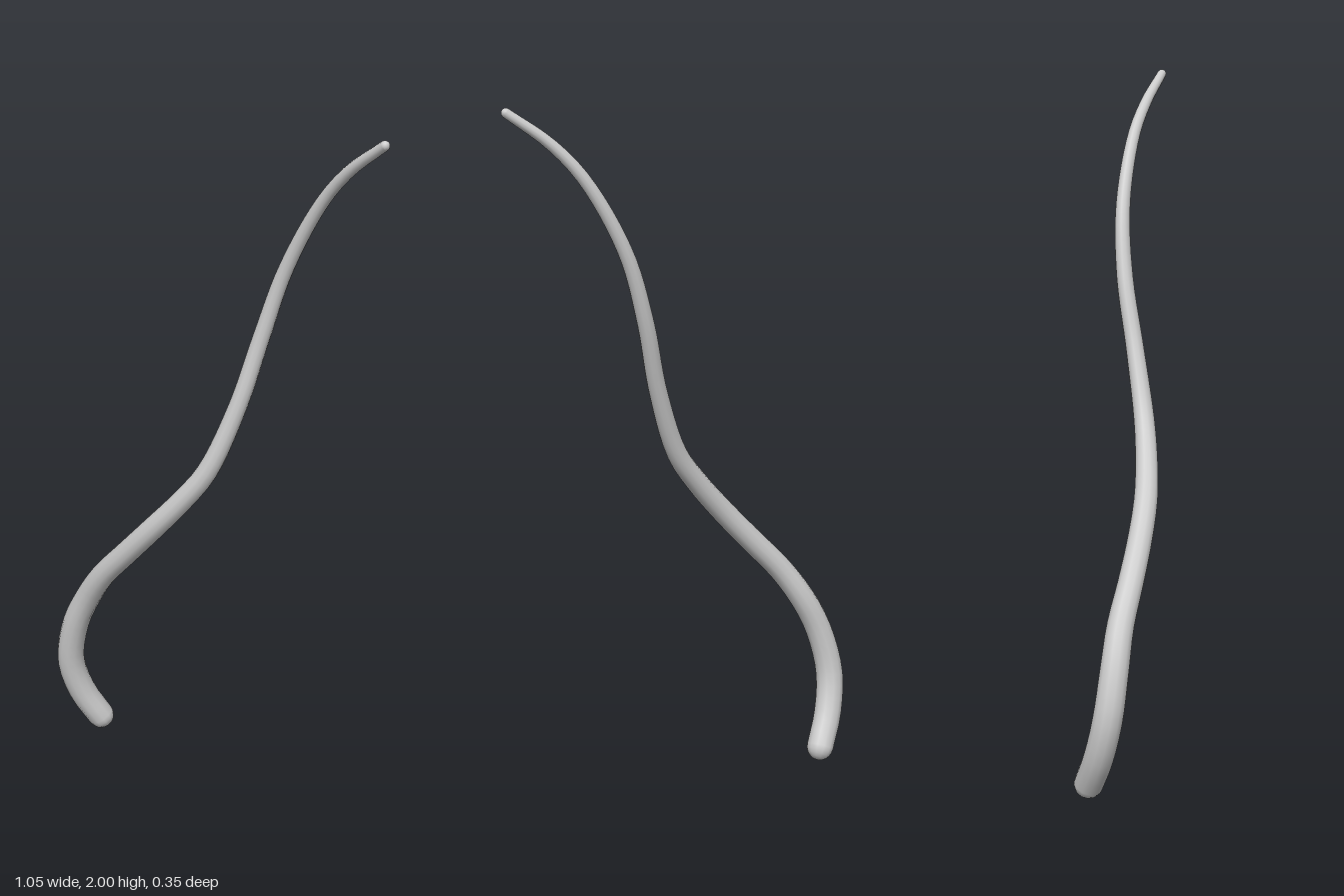
import * as THREE from 'three';

// Centre line of the tendril: x, y, z, radius from thick base to thin tip
const STATIONS = [
  [-0.408, 0.045, -0.132, 0.042],
  [-0.460, 0.140, -0.108, 0.043],
  [-0.486, 0.260, -0.084, 0.043],
  [-0.458, 0.400, -0.062, 0.041],
  [-0.410, 0.500, -0.043, 0.039],
  [-0.345, 0.600, -0.010, 0.037],
  [-0.255, 0.700, 0.024, 0.036],
  [-0.163, 0.800, 0.050, 0.035],
  [-0.072, 0.900, 0.060, 0.033],
  [0.005, 1.000, 0.060, 0.031],
  [0.090, 1.200, 0.040, 0.027],
  [0.150, 1.400, 0.016, 0.025],
  [0.217, 1.600, 0.016, 0.022],
  [0.322, 1.800, 0.056, 0.019],
  [0.403, 1.900, 0.101, 0.017],
  [0.509, 1.986, 0.161, 0.014],
];
const SIDES = 12, STEPS = 60, CAP = 5;

export function createModel() {
  const group = new THREE.Group();
  group.name = 'tendril';
  const curve = new THREE.CatmullRomCurve3(STATIONS.map(([x, y, z]) => new THREE.Vector3(x, y, z)));
  const frames = curve.computeFrenetFrames(STEPS, false);

  // Radius at a curve parameter, interpolated between stations
  const radiusAt = (t) => {
    const f = t * (STATIONS.length - 1);
    const i = Math.min(Math.floor(f), STATIONS.length - 2);
    return THREE.MathUtils.lerp(STATIONS[i][3], STATIONS[i + 1][3], f - i);
  };

  // Rings along the body, with rounded caps at both ends
  const rings = [];
  const addRing = (step, angle, end) => {
    const u = step / STEPS;
    const r = radiusAt(curve.getUtoTmapping(u));
    const center = curve.getPointAt(u).addScaledVector(frames.tangents[step], end * r * Math.sin(angle));
    rings.push({ center, r: r * Math.cos(angle), n: frames.normals[step], b: frames.binormals[step] });
  };
  const capAngle = (k) => (k / CAP) * Math.PI * 0.499;
  for (let k = CAP; k > 0; k--) addRing(0, capAngle(k), -1);
  for (let s = 0; s <= STEPS; s++) addRing(s, 0, 0);
  for (let k = 1; k <= CAP; k++) addRing(STEPS, capAngle(k), 1);

  const positions = [], index = [];
  rings.forEach(({ center, r, n, b }, i) => {
    for (let j = 0; j < SIDES; j++) {
      const a = (j / SIDES) * Math.PI * 2;
      const p = center.clone().addScaledVector(n, r * Math.cos(a)).addScaledVector(b, r * Math.sin(a));
      positions.push(p.x, p.y, p.z);
      if (i === rings.length - 1) continue;
      const k = (j + 1) % SIDES, lo = i * SIDES, hi = lo + SIDES;
      index.push(lo + j, lo + k, hi + j, lo + k, hi + k, hi + j);
    }
  });

  const geometry = new THREE.BufferGeometry();
  geometry.setAttribute('position', new THREE.Float32BufferAttribute(positions, 3));
  geometry.setIndex(index);
  geometry.computeVertexNormals();

  const stem = new THREE.Mesh(geometry, new THREE.MeshStandardMaterial({ color: 0xcccccc }));
  stem.name = 'taperedStem';
  group.add(stem);
  return group;
}
